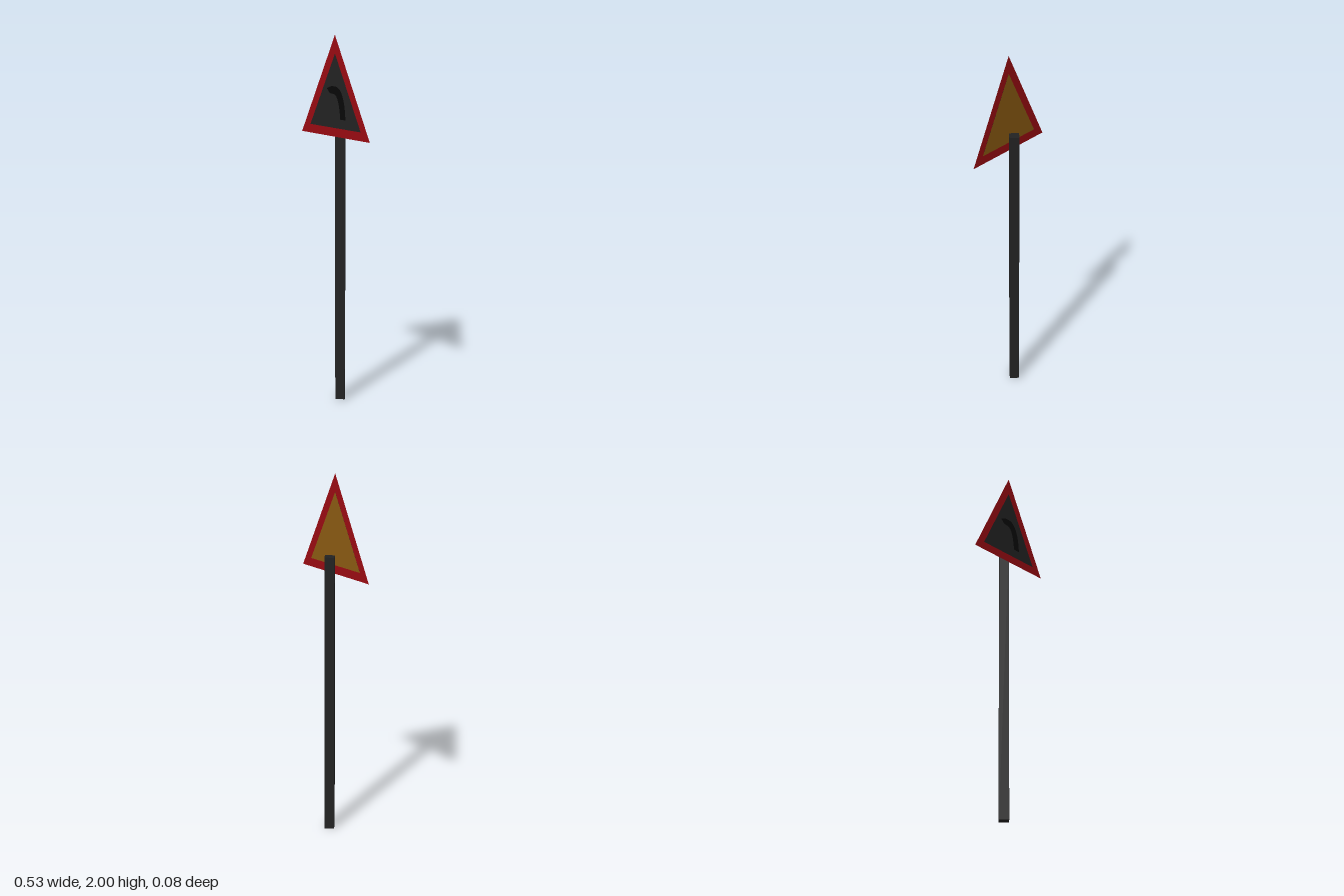
import * as THREE from 'three';

const SIGN_Z = 0.037;

// Flat sheet of the sign, visible from both sides
function sheet(name, shape, color, z) {
  const material = new THREE.MeshStandardMaterial({ color, side: THREE.DoubleSide });
  const m = new THREE.Mesh(new THREE.ShapeGeometry(shape, 8), material);
  m.name = name;
  m.position.z = z;
  return m;
}

// Isosceles triangle, given its half width, base height and apex height
function triangle(halfWidth, base, apex) {
  return new THREE.Shape([
    new THREE.Vector2(-halfWidth, base),
    new THREE.Vector2(halfWidth, base),
    new THREE.Vector2(0, apex),
  ]);
}

export function createModel() {
  const group = new THREE.Group();

  // Square post turned so that an edge faces forward
  const post = new THREE.Mesh(
    new THREE.CylinderGeometry(0.037, 0.037, 1.567, 4),
    new THREE.MeshStandardMaterial({ color: 0x222222, flatShading: true, side: THREE.DoubleSide }),
  );
  post.name = 'post';
  post.position.y = 1.567 / 2;
  group.add(post);

  // Red triangular border around the panel
  const inner = triangle(0.197, 1.513, 1.903);
  const border = triangle(0.266, 1.467, 2);
  border.holes.push(inner);
  group.add(sheet('border', border, 0x990b12, SIGN_Z));

  // Dark front panel and amber back panel
  group.add(sheet('frontPanel', inner, 0x232323, SIGN_Z));
  group.add(sheet('backPanel', inner, 0x8a5a12, SIGN_Z - 0.0005));

  // Curved bend symbol
  const bend = new THREE.Shape();
  bend.moveTo(0.042, 1.562);
  bend.lineTo(0.082, 1.562);
  bend.bezierCurveTo(0.078, 1.66, 0.053, 1.733, 0, 1.733);
  bend.lineTo(-0.03, 1.731);
  bend.lineTo(-0.063, 1.718);
  bend.lineTo(-0.04, 1.694);
  bend.lineTo(-0.01, 1.692);
  bend.bezierCurveTo(0.023, 1.688, 0.035, 1.63, 0.042, 1.562);
  group.add(sheet('bendSymbol', bend, 0x080808, SIGN_Z + 0.001));

  return group;
}
